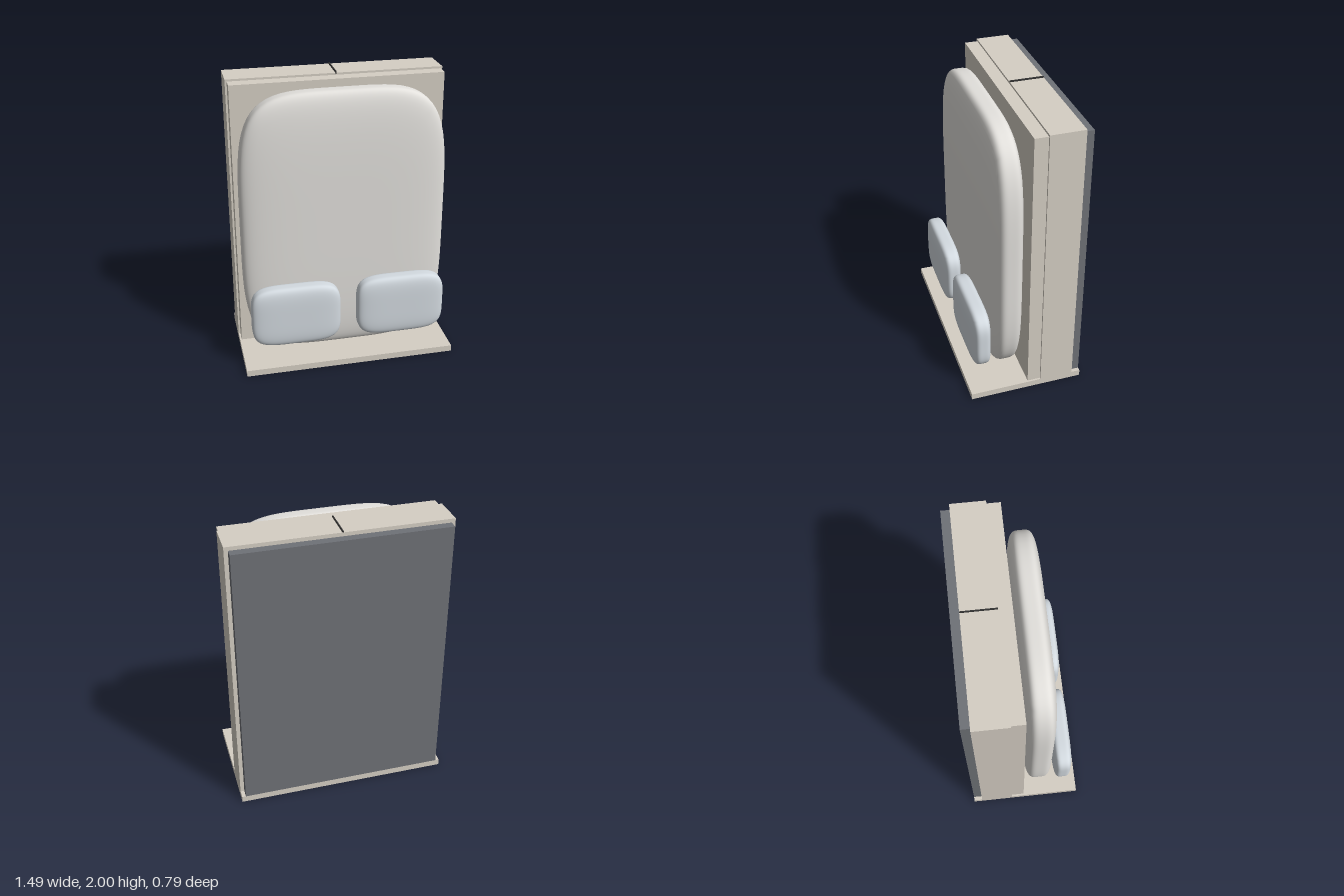
import * as THREE from 'three';
import { mergeVertices } from 'three/addons/utils/BufferGeometryUtils.js';

const material = (color) => new THREE.MeshStandardMaterial({ color });
const wood = material(0xd6cfc4);
const dark = material(0x6f7277);
const black = material(0x333333);
const linen = material(0xe2e0dc);
const pillowCloth = material(0xd3dae0);

// All parts are given by their extents [min, max] on each axis.
function place(mesh, name, x, y, z) {
  mesh.name = name;
  mesh.position.set((x[0] + x[1]) / 2, (y[0] + y[1]) / 2, (z[0] + z[1]) / 2);
  return mesh;
}

function panel(name, mat, x, y, z) {
  const geometry = new THREE.BoxGeometry(x[1] - x[0], y[1] - y[0], z[1] - z[0]);
  return place(new THREE.Mesh(geometry, mat), name, x, y, z);
}

// Soft cushion: a subdivided cube pulled onto a superellipsoid.
function cushion(name, mat, x, y, z, power = 4.4) {
  let geometry = new THREE.BoxGeometry(2, 2, 2, 24, 24, 24);
  geometry.deleteAttribute('normal');
  geometry.deleteAttribute('uv');
  geometry = mergeVertices(geometry);
  const pos = geometry.attributes.position;
  const p = new THREE.Vector3();
  for (let i = 0; i < pos.count; i++) {
    p.fromBufferAttribute(pos, i);
    const sum = p.toArray().reduce((s, c) => s + Math.abs(c) ** power, 0);
    p.multiplyScalar(sum ** (-1 / power));
    pos.setXYZ(i, p.x, p.y, p.z);
  }
  geometry.scale((x[1] - x[0]) / 2, (y[1] - y[0]) / 2, (z[1] - z[0]) / 2);
  geometry.computeVertexNormals();
  return place(new THREE.Mesh(geometry, mat), name, x, y, z);
}

export function createModel() {
  const model = new THREE.Group();
  model.name = 'foldingBed';

  // Cabinet standing on its base board
  model.add(
    panel('base', wood, [-0.745, 0.745], [0, 0.045], [-0.397, 0.397]),
    panel('cabinet', wood, [-0.745, 0.745], [0.045, 1.99], [-0.337, -0.103]),
    panel('bedFrame', wood, [-0.732, 0.732], [0.045, 1.976], [-0.103, -0.012]),
    panel('backPanel', dark, [-0.718, 0.718], [0.045, 1.964], [-0.397, -0.337]),
    panel('doorSeam', black, [-0.004, 0.004], [1.98, 2], [-0.337, -0.103]),
  );

  // Upright mattress and a pair of pillows
  model.add(cushion('mattress', linen, [-0.713, 0.713], [0.05, 1.947], [-0.01, 0.217]));
  for (const [name, x] of [['leftPillow', [0.06, 0.685]], ['rightPillow', [-0.685, -0.06]]]) {
    model.add(cushion(name, pillowCloth, x, [0.178, 0.624], [0.22, 0.357]));
  }
  return model;
}
